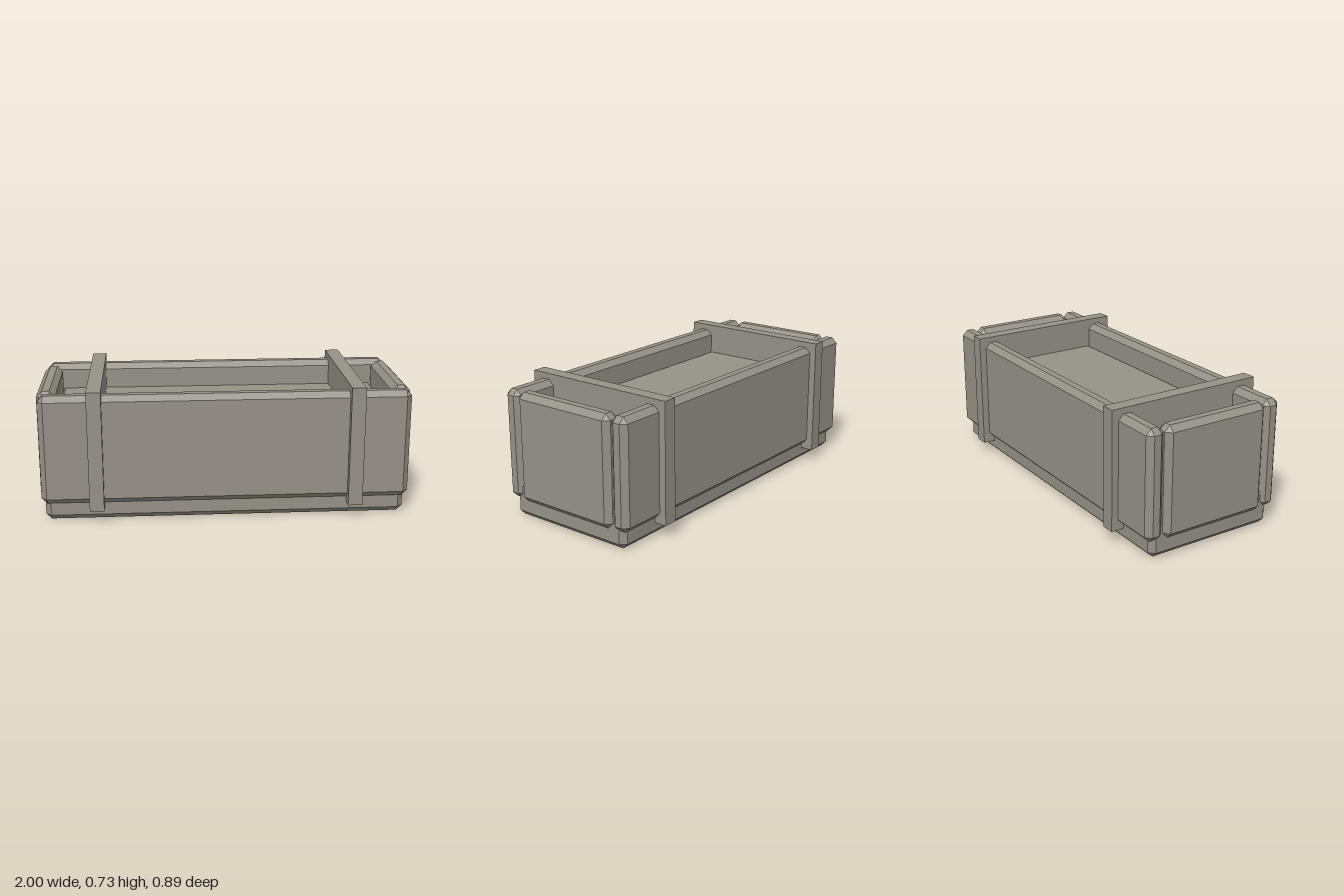
import * as THREE from 'three';
import { ConvexGeometry } from 'three/addons/geometries/ConvexGeometry.js';

const BEVEL = 0.03;

// Box with every edge cut flat: three points near each of the eight corners
function bevelledBox(w, h, d, b = BEVEL) {
  const points = [];
  for (const sx of [-1, 1]) for (const sy of [-1, 1]) for (const sz of [-1, 1]) {
    const x = w / 2, y = h / 2, z = d / 2;
    points.push(
      new THREE.Vector3(sx * x, sy * (y - b), sz * (z - b)),
      new THREE.Vector3(sx * (x - b), sy * y, sz * (z - b)),
      new THREE.Vector3(sx * (x - b), sy * (y - b), sz * z)
    );
  }
  return new ConvexGeometry(points);
}

export function createModel() {
  const group = new THREE.Group();
  const stone = new THREE.MeshStandardMaterial({ color: 0x969288 });
  stone.name = 'warmGrey';

  const add = (name, geometry, x, y, z) => {
    const mesh = new THREE.Mesh(geometry, stone);
    mesh.name = name;
    mesh.position.set(x, y, z);
    group.add(mesh);
  };

  // Plinth and the raised inner floor
  add('base', bevelledBox(1.94, 0.2, 0.75), 0, 0.1, 0);
  add('innerFloor', bevelledBox(1.84, 0.405, 0.66), 0, 0.3525, 0);

  // Walls and straps, mirrored
  const wallHeight = 0.593, wallY = 0.1 + wallHeight / 2;
  const longWall = bevelledBox(1.975, wallHeight, 0.1);
  const endWall = bevelledBox(0.1, wallHeight, 0.615);
  const strap = new THREE.BoxGeometry(0.077, 0.653, 0.89);
  for (const s of [1, -1]) {
    add(s > 0 ? 'frontWall' : 'backWall', longWall, 0, wallY, s * 0.357);
    add(s > 0 ? 'leftEndWall' : 'rightEndWall', endWall, s * 0.95, wallY, 0);
    add(s > 0 ? 'leftStrap' : 'rightStrap', strap, s * 0.692, 0.3985, 0);
  }
  return group;
}
